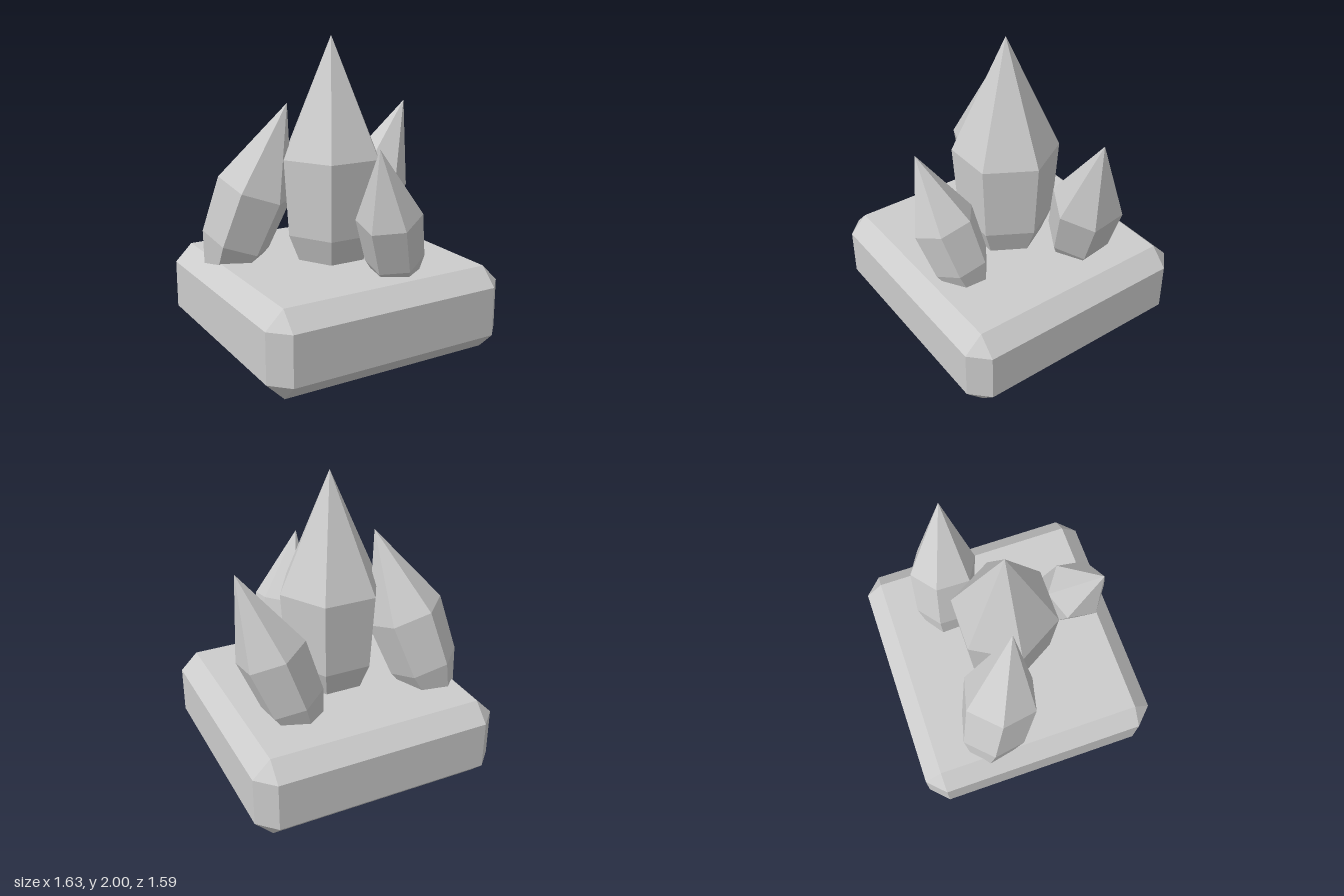
import * as THREE from 'three';
import { ConvexGeometry } from 'three/addons/geometries/ConvexGeometry.js';

const stone = new THREE.MeshStandardMaterial({ color: 0xcccccc, flatShading: true });
stone.name = 'paleGreyStone';

// Box with every edge and corner chamfered by c
function chamferedBox(hx, hy, hz, c) {
  const points = [];
  for (const sx of [-1, 1]) for (const sy of [-1, 1]) for (const sz of [-1, 1]) {
    points.push(
      new THREE.Vector3(sx * hx, sy * (hy - c), sz * (hz - c)),
      new THREE.Vector3(sx * (hx - c), sy * hy, sz * (hz - c)),
      new THREE.Vector3(sx * (hx - c), sy * (hy - c), sz * hz)
    );
  }
  return new ConvexGeometry(points);
}

// Six-sided crystal: origin at the shoulder, tip at y = 1, one edge towards +z
const crystalGeometry = new THREE.LatheGeometry([
  new THREE.Vector2(0, -1.667),
  new THREE.Vector2(0.906, -0.653),
  new THREE.Vector2(1, 0),
  new THREE.Vector2(0, 1),
], 6);

// Place a crystal by its tip, shoulder centre, shoulder radius and the direction of one edge
function crystal(name, tip, shoulder, radius, edge) {
  const centre = new THREE.Vector3(...shoulder);
  const axis = new THREE.Vector3(...tip).sub(centre);
  const length = axis.length();
  axis.normalize();
  const z = new THREE.Vector3(...edge);
  z.addScaledVector(axis, -z.dot(axis)).normalize();
  const x = new THREE.Vector3().crossVectors(axis, z);
  const mesh = new THREE.Mesh(crystalGeometry, stone);
  mesh.name = name;
  mesh.position.copy(centre);
  mesh.quaternion.setFromRotationMatrix(new THREE.Matrix4().makeBasis(x, axis, z));
  mesh.scale.set(radius, length, radius);
  return mesh;
}

export function createModel() {
  const model = new THREE.Group();
  model.name = 'crystalCluster';

  // Plinth
  const base = new THREE.Mesh(chamferedBox(0.817, 0.271, 0.797, 0.113), stone);
  base.name = 'base';
  base.position.y = 0.317;
  model.add(base);

  // Upright centre crystal and three leaning ones around it
  model.add(
    crystal('centreCrystal', [0, 2, 0], [0, 1.25, 0], 0.339, [1, 0, 0]),
    crystal('frontCrystal', [-0.045, 1.395, 0.625], [0.09, 0.955, 0.53], 0.203, [-0.01, -0.05, 0.195]),
    crystal('leftCrystal', [0.69, 1.53, -0.19], [0.512, 1.02, -0.252], 0.226, [0.008, -0.03, 0.222]),
    crystal('rightCrystal', [-0.285, 1.595, -0.05], [-0.446, 1.057, -0.184], 0.25, [0.051, -0.072, 0.229])
  );
  return model;
}
